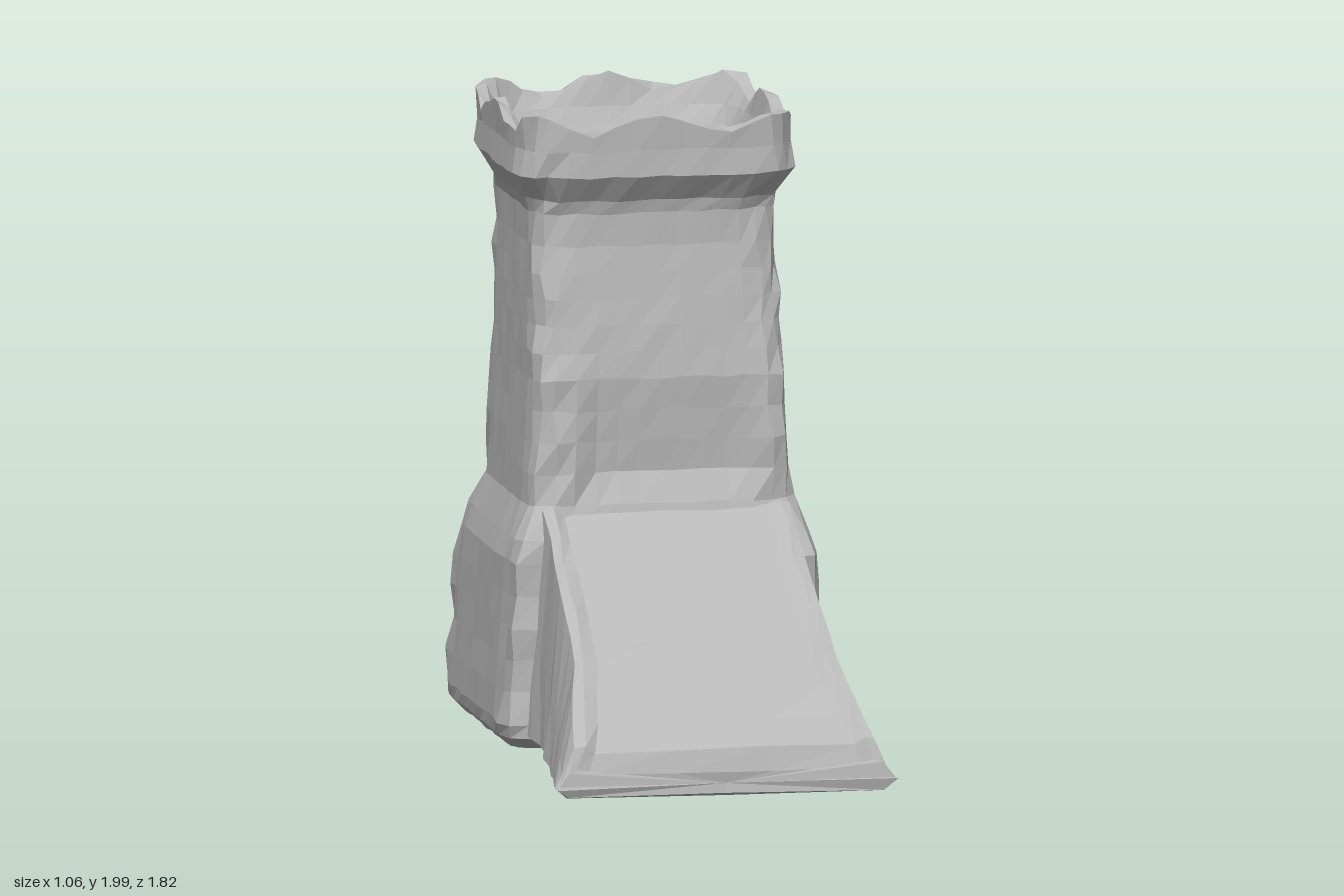
import * as THREE from 'three';

const stone = new THREE.MeshStandardMaterial({ color: 0xb8b8b8, flatShading: true });
stone.name = 'grey stone';

const PER_SIDE = 12;

// Repeatable roughness in -1..1
function rough(a, b, c) {
  const s = Math.sin(a * 127.1 + b * 311.7 + c * 74.7) * 43758.5453;
  return (s - Math.floor(s)) * 2 - 1;
}

// Blend between key sections so that none are more than 0.1 apart
function refine(keys) {
  const out = [keys[0]];
  for (let k = 1; k < keys.length; k++) {
    const a = keys[k - 1], b = keys[k];
    const steps = Math.max(1, Math.ceil(Math.abs(b[0] - a[0]) / 0.1 - 0.01));
    for (let s = 1; s <= steps; s++) {
      out.push(b.map((v, i) => THREE.MathUtils.lerp(a[i], v, s / steps)));
    }
  }
  return out;
}

// Skin a list of closed rings that all have the same number of points
function skin(name, rings) {
  const n = rings[0].length;
  const index = [];
  for (let r = 0; r < rings.length - 1; r++) {
    for (let i = 0; i < n; i++) {
      const j = (i + 1) % n;
      const a = r * n + i, b = r * n + j, c = a + n, d = b + n;
      index.push(a, b, d, a, d, c);
    }
  }
  const geo = new THREE.BufferGeometry();
  geo.setAttribute('position', new THREE.Float32BufferAttribute(rings.flat(2), 3));
  geo.setIndex(index);
  geo.computeVertexNormals();
  const mesh = new THREE.Mesh(geo, stone);
  mesh.name = name;
  return mesh;
}

// Rounded square ring: height, half width, back, front, squareness of the corners
function squareRing([y, w, back, front, power]) {
  const pts = [];
  const rim = y > 1.9;
  const calm = w > 0.35 ? 1 : 0; // no roughness near the closed ends
  for (let i = 0; i < PER_SIDE * 4; i++) {
    const side = Math.floor(i / PER_SIDE), k = i % PER_SIDE;
    const t = k / PER_SIDE;
    let u = t * 2 - 1, v = 1;
    for (let q = 0; q < side; q++) [u, v] = [v, -u];
    const f = (Math.abs(u) ** power + Math.abs(v) ** power) ** (-1 / power);
    const amp = calm * (k < 2 || k > PER_SIDE - 2 ? 0.011 : 0.002);
    const x = u * f * w - 0.008 + rough(i, y, 1) * amp;
    let z = (back + front) / 2 + v * f * (front - back) / 2 + rough(i, y, 2) * amp;
    // Worn crenellations: a peak at each corner and in the middle of each side
    const wave = rim ? 0.027 * Math.cos(t * Math.PI * 4) : 0;
    const h = y + wave + rough(i, y, 3) * calm * (rim ? 0.014 : 0.004);
    // Recessed doorway on the front, fading out towards its head
    if (side === 0 && y > 0.82 && y < 1.34) {
      z -= 0.1 * (1.34 - y) * (1 - THREE.MathUtils.smoothstep(Math.abs(x - 0.02), 0.2, 0.31));
    }
    pts.push([x, Math.max(0, h), z]);
  }
  return pts;
}

// Ramp section: z, top height, top half width, bottom height, bottom half width
function rampRing([z, yt, wt, yb, wb]) {
  const rightTop = [[wt, yt], [wt - 0.03, yt + 0.004], [wt - 0.07, yt - 0.014], [0.15, yt - 0.014]];
  const rightUnder = [[wb - 0.04, yb], [wb, yb + 0.03], [wt * 0.4 + wb * 0.6, yt * 0.45 + yb * 0.55]];
  const mirror = (pts) => pts.map(([x, y]) => [-x, y]).reverse();
  const loop = [...rightTop, ...mirror(rightTop), ...mirror(rightUnder), [0, yb - 0.005], ...rightUnder];
  return loop.map(([x, y], i) => {
    // The toe flares forward at its corners
    const flare = z > 0.8 ? 0.024 * (Math.abs(x) / 0.5) ** 6 : 0;
    return [x + rough(i, z, 5) * 0.007, y + rough(i, z, 6) * 0.006, z + flare];
  });
}

export function createModel() {
  const model = new THREE.Group();
  model.name = 'tower with ramp';

  // Underside and flared base
  const base = [
    [0.0, 0.002, -0.652, -0.648, 8],
    [0.006, 0.28, -0.78, -0.45, 8],
    [0.05, 0.45, -0.88, -0.08, 10],
    [0.1, 0.5, -0.905, 0.045, 26],
    [0.14, 0.505, -0.903, 0.052, 30],
    [0.63, 0.473, -0.842, 0.045, 30],
    [0.7, 0.452, -0.82, 0.03, 20],
    [0.8, 0.415, -0.78, 0.0, 11],
  ];
  // Wall, leaning back above the doorway
  const wall = [
    base.at(-1),
    [1.18, 0.395, -0.77, -0.015, 10],
    [1.34, 0.39, -0.775, -0.05, 9],
    [1.58, 0.378, -0.79, -0.085, 9],
    [1.68, 0.378, -0.8, -0.085, 8],
    [1.72, 0.39, -0.81, -0.075, 8],
  ];
  // Overhanging crown, over the rim and down inside
  const crown = [
    wall.at(-1),
    [1.8, 0.438, -0.865, -0.022, 7],
    [1.88, 0.43, -0.86, -0.025, 6],
    [1.958, 0.433, -0.872, -0.022, 6],
    [1.955, 0.4, -0.838, -0.055, 6],
    [1.89, 0.382, -0.815, -0.075, 5],
    [1.835, 0.355, -0.79, -0.1, 4.5],
  ];
  // Slightly dished floor inside the crown
  const floor = [
    crown.at(-1),
    [1.825, 0.28, -0.72, -0.17, 4],
    [1.82, 0.002, -0.447, -0.443, 4],
  ];
  for (const [name, keys] of Object.entries({ base, towerWall: wall, battlement: crown, roofFloor: floor })) {
    model.add(skin(name, refine(keys).map(squareRing)));
  }

  // Ramp, widening towards its toe
  const rampRings = refine([
    [-0.08, 0.8, 0.37, 0.075, 0.42],
    [0.0, 0.795, 0.385, 0.075, 0.445],
    [0.2, 0.65, 0.385, 0.075, 0.435],
    [0.57, 0.415, 0.405, 0.045, 0.478],
    [0.86, 0.2, 0.465, 0.05, 0.528],
    [0.88, 0.13, 0.49, 0.05, 0.53],
  ]).map(rampRing);
  // Close the toe of the ramp
  rampRings.push(rampRings[0].map(() => [0, 0.08, 0.875]));
  model.add(skin('ramp', rampRings));

  return model;
}
